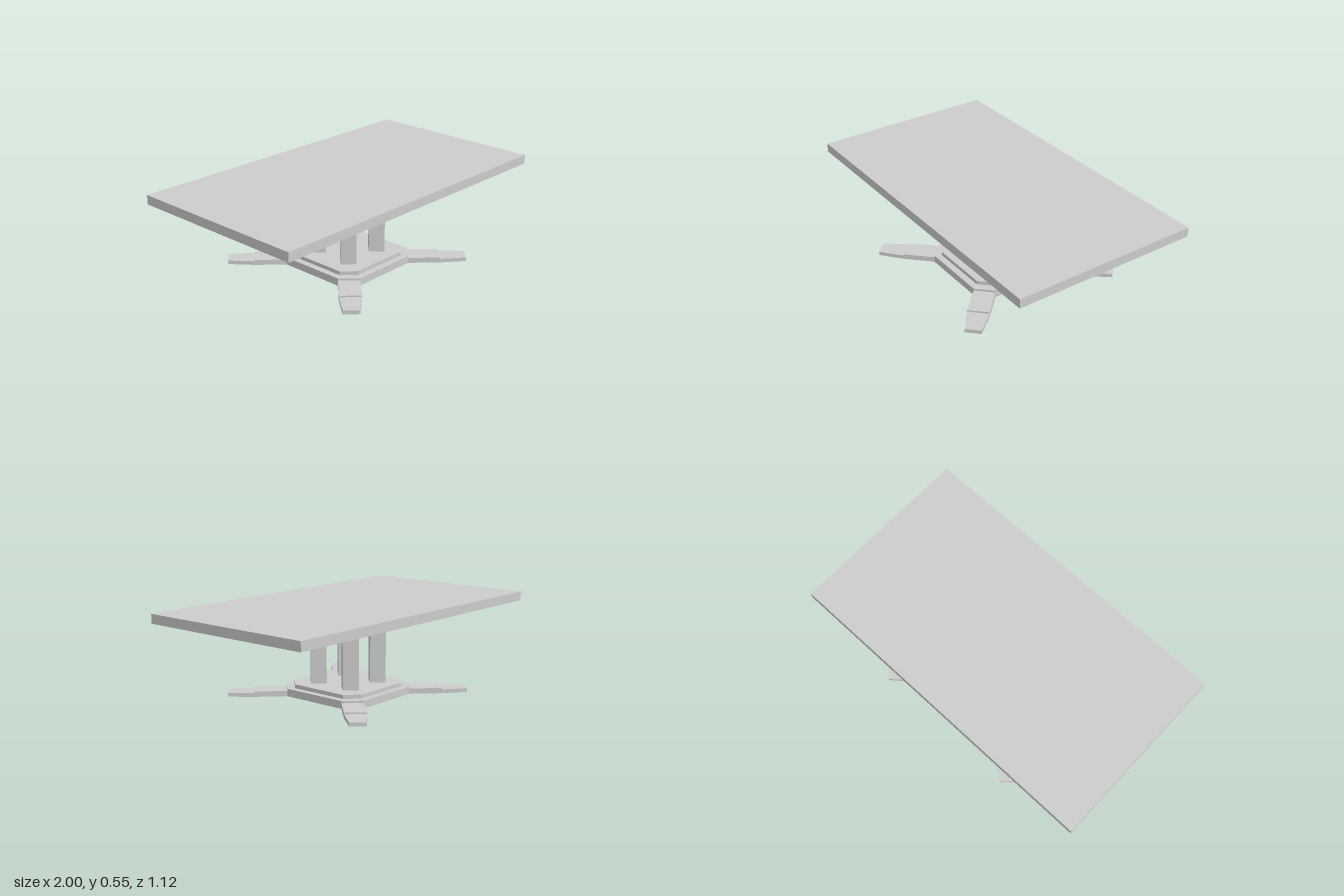
import * as THREE from 'three';

const material = new THREE.MeshStandardMaterial({ color: 0xcccccc, flatShading: true });

// Flat slab: an outline in (x, z) raised from y0 to y1
function slab(name, outline, y0, y1) {
  const shape = new THREE.Shape(outline.map(([x, z]) => new THREE.Vector2(x, -z)));
  const geometry = new THREE.ExtrudeGeometry(shape, { depth: y1 - y0, bevelEnabled: false });
  geometry.rotateX(-Math.PI / 2).translate(0, y0, 0);
  const mesh = new THREE.Mesh(geometry, material);
  mesh.name = name;
  return mesh;
}

// Square with cut corners: a = half width, b = half length of each flat side
const cutSquare = (a, b) => [[a, b], [b, a], [-b, a], [-a, b], [-a, -b], [-b, -a], [b, -a], [a, -b]];

export function createModel() {
  const model = new THREE.Group();
  model.name = 'pedestalTable';

  // Table top
  const top = new THREE.Mesh(new THREE.BoxGeometry(2, 0.055, 1.12), material);
  top.name = 'tableTop';
  top.position.y = 0.5175;
  model.add(top);

  // Pedestal, set slightly off centre beneath the top
  const pedestal = new THREE.Group();
  pedestal.name = 'pedestal';
  pedestal.position.x = 0.005;
  model.add(pedestal);

  // Two-step base
  pedestal.add(slab('baseLower', cutSquare(0.3, 0.21), 0, 0.045));
  pedestal.add(slab('baseUpper', cutSquare(0.26, 0.185), 0.045, 0.068));

  // Four diagonal posts and feet
  for (let i = 0; i < 4; i++) {
    const corner = new THREE.Group();
    corner.name = 'corner' + (i + 1);
    corner.rotation.y = i * Math.PI / 2;

    const post = new THREE.Mesh(new THREE.CylinderGeometry(0.065, 0.065, 0.422, 4), material);
    post.name = 'post';
    post.position.set(0.123, 0.279, 0.123);

    // Foot: straight inner part, then a lower tapered toe
    const foot = slab('foot', [[0.3, 0.21], [0.435, 0.345], [0.345, 0.435], [0.21, 0.3]], 0, 0.032);
    const toe = slab('toe', [[0.435, 0.345], [0.535, 0.468], [0.468, 0.535], [0.345, 0.435]], 0, 0.023);
    corner.add(post, foot, toe);
    pedestal.add(corner);
  }
  return model;
}
